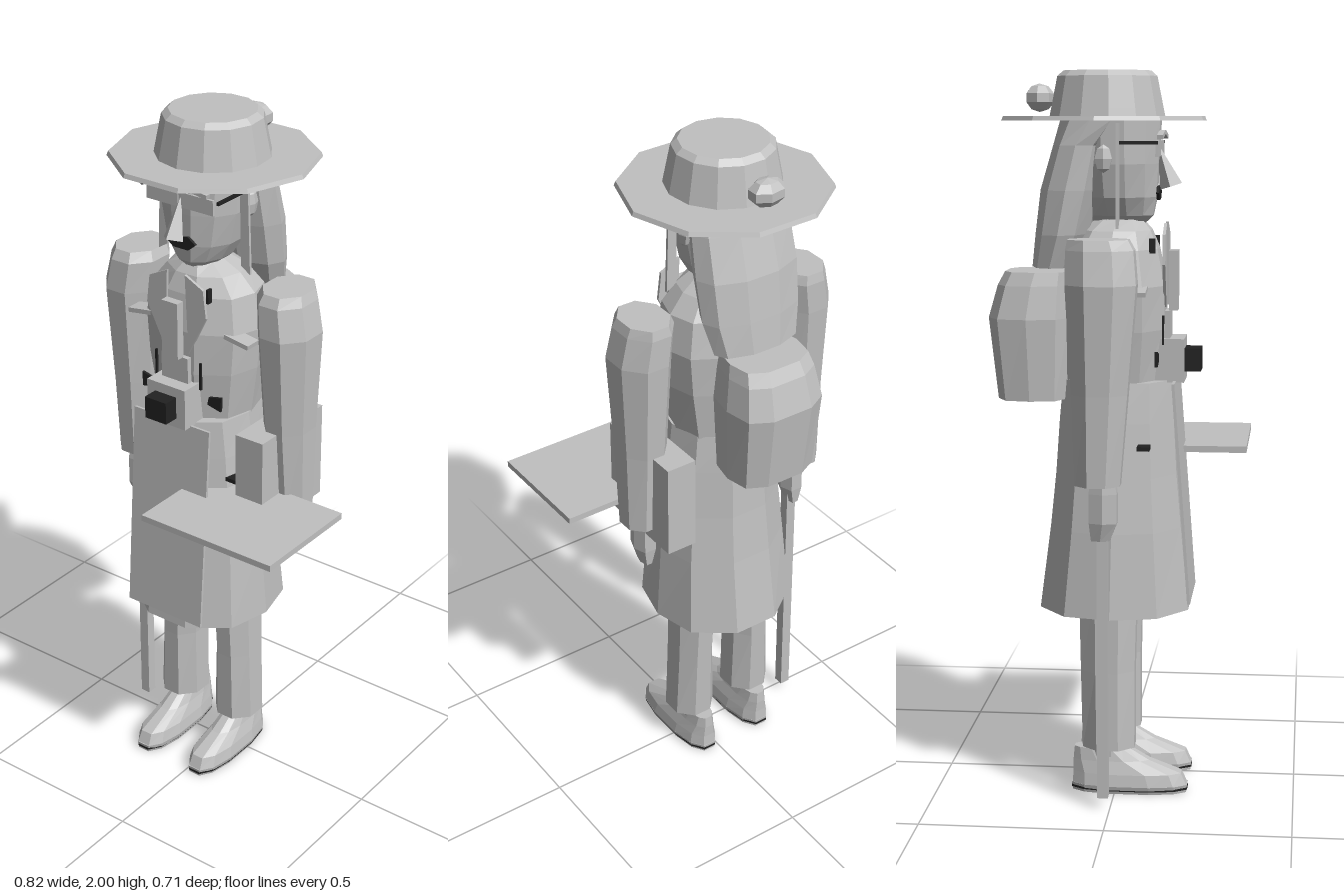
import * as THREE from 'three';

const CX = -0.065; // body axis

export function createModel() {
  const root = new THREE.Group();
  const mat = (name, color) => {
    const m = new THREE.MeshStandardMaterial({ color, flatShading: true, side: THREE.DoubleSide });
    m.name = name;
    return m;
  };
  const grey = mat('grey', 0xc0c0c0);
  const black = mat('black', 0x222222);

  const add = (name, geo, m = grey) => {
    const mesh = new THREE.Mesh(geo, m);
    mesh.name = name;
    root.add(mesh);
    return mesh;
  };
  // box from min and max corners
  const box = (name, x0, x1, y0, y1, z0, z1, m) => {
    const mesh = add(name, new THREE.BoxGeometry(x1 - x0, y1 - y0, z1 - z0), m);
    mesh.position.set((x0 + x1) / 2, (y0 + y1) / 2, (z0 + z1) / 2);
    return mesh;
  };
  // loft through rings [y, xMin, xMax, zBack, zFront]
  const loft = (name, rings, n = 10, capBottom = true, capTop = true, m = grey, pow = 1) => {
    const pos = [], idx = [];
    const curve = v => Math.sign(v) * Math.pow(Math.abs(v), pow);
    rings.forEach(([y, x0, x1, z0, z1]) => {
      for (let i = 0; i < n; i++) {
        const a = ((i + 0.5) / n) * Math.PI * 2;
        const k = 1 / Math.cos(Math.PI / n);
        const c = Math.max(-1, Math.min(1, Math.sin(a) * k)), s = Math.max(-1, Math.min(1, Math.cos(a) * k));
        pos.push((x0 + x1) / 2 + (x1 - x0) / 2 * curve(c), y, (z0 + z1) / 2 + (z1 - z0) / 2 * curve(s));
      }
    });
    for (let r = 0; r < rings.length - 1; r++) for (let i = 0; i < n; i++) {
      const a = r * n + i, b = r * n + (i + 1) % n;
      idx.push(a, b, b + n, a, b + n, a + n);
    }
    const t = (rings.length - 1) * n;
    for (let i = 1; i < n - 1; i++) {
      if (capBottom) idx.push(0, i + 1, i);
      if (capTop) idx.push(t, t + i, t + i + 1);
    }
    const g = new THREE.BufferGeometry();
    g.setAttribute('position', new THREE.Float32BufferAttribute(pos, 3));
    g.setIndex(idx);
    g.computeVertexNormals();
    return add(name, g, m);
  };
  // symmetric ring about the body axis
  const R = (y, rx, zb, zf) => [y, CX - rx, CX + rx, zb, zf];
  // flat plate from front-view points
  const plate = (name, pts, z, m, depth = 0.008) => {
    const g = new THREE.ExtrudeGeometry(new THREE.Shape(pts.map(p => new THREE.Vector2(...p))), { depth, bevelEnabled: false });
    const mesh = add(name, g, m);
    mesh.position.set(CX, 0, z);
    return mesh;
  };

  // hat
  const brim = add('hatBrim', new THREE.CylinderGeometry(0.282, 0.287, 0.012, 10));
  brim.rotation.y = Math.PI / 2;
  brim.position.set(CX, 1.872, -0.038);
  const crown = add('hatCrown', new THREE.LatheGeometry(
    [[0.16, 1.87], [0.154, 1.9], [0.137, 1.985], [0.12, 2], [0, 2]].map(p => new THREE.Vector2(...p)), 13));
  crown.position.set(CX, 0, -0.032);
  const bobble = add('hatBobble', new THREE.SphereGeometry(0.055, 7, 5));
  bobble.scale.set(1, 0.7, 0.75);
  bobble.position.set(CX, 1.927, -0.218);

  // head, neck and hair
  loft('head', [R(1.585, 0.04, -0.06, 0.07), R(1.61, 0.07, -0.09, 0.095), R(1.66, 0.1, -0.11, 0.105),
    R(1.75, 0.12, -0.12, 0.11), R(1.87, 0.125, -0.13, 0.115)], 12);
  loft('neck', [R(1.5, 0.065, -0.07, 0.06), R(1.62, 0.055, -0.06, 0.05)], 8);
  loft('hair', [R(1.47, 0.13, -0.235, -0.12), R(1.56, 0.15, -0.225, -0.08), R(1.68, 0.155, -0.21, -0.05),
    R(1.8, 0.15, -0.175, -0.03), R(1.87, 0.145, -0.155, 0.03)], 10);

  // face
  const nose = add('nose', new THREE.ConeGeometry(0.032, 0.12, 4));
  nose.position.set(CX, 1.745, 0.125);
  nose.rotation.x = -0.3;
  plate('mouth', [[-0.05, 1.672], [-0.025, 1.69], [0, 1.684], [0.025, 1.69], [0.05, 1.672], [0.025, 1.652], [-0.025, 1.652]], 0.106, black);
  for (const s of [-1, 1]) {
    const x = CX + s * 0.058;
    box('lens', x - 0.052, x + 0.052, 1.77, 1.812, 0.108, 0.116);
    box('glassesArm', CX + s * 0.126 - 0.004, CX + s * 0.126 + 0.004, 1.803, 1.812, 0.01, 0.116, black);
    const brow = box('eyebrow', x - 0.04, x + 0.04, 1.822, 1.834, 0.112, 0.128);
    brow.rotation.z = -s * 0.15;
    const ear = add('ear', new THREE.SphereGeometry(0.038, 6, 4));
    ear.scale.set(0.4, 1, 0.7);
    ear.position.set(CX + s * 0.125, 1.765, -0.03);
    // front lock of hair
    plate('hairLock', [[s * 0.12, 1.86], [s * 0.145, 1.86], [s * 0.155, 1.58], [s * 0.125, 1.6]], 0.005, grey);
  }

  // coat top and skirt
  loft('coatTop', [R(1.14, 0.14, -0.145, 0.115), R(1.3, 0.165, -0.15, 0.13), R(1.42, 0.175, -0.15, 0.13),
    R(1.52, 0.155, -0.13, 0.11), R(1.57, 0.11, -0.1, 0.09), R(1.6, 0.06, -0.06, 0.065)], 10);
  loft('coatSkirt', [R(0.515, 0.207, -0.215, 0.2), R(0.75, 0.19, -0.185, 0.178), R(0.9, 0.175, -0.17, 0.165),
    R(1.05, 0.16, -0.16, 0.157), R(1.16, 0.145, -0.15, 0.152)], 10);
  const apron = box('frontPanel', CX - 0.13, CX + 0.13, 0.545, 1.16, -0.004, 0.004);
  apron.position.z = 0.182;
  apron.rotation.x = -0.075;

  // coat details
  for (const s of [-1, 1]) {
    box('pocketSlit', CX + s * 0.16 - 0.03, CX + s * 0.16 + 0.03, 0.983, 0.995, 0.066, 0.1, black);
    plate('chestPocket', [[s * 0.09, 1.215], [s * 0.135, 1.205], [s * 0.137, 1.248], [s * 0.095, 1.238]], 0.11, black);
    box('collarSlit', CX + s * 0.083 - 0.004, CX + s * 0.083 + 0.004, 1.51, 1.55, 0.09, 0.107, black);
    box('strapSlit', CX + s * 0.076 - 0.003, CX + s * 0.076 + 0.003, 1.26, 1.34, 0.125, 0.131, black);
    const tab = box('chestTab', CX + s * 0.165 - 0.04, CX + s * 0.165 + 0.04, 1.407, 1.42, 0.04, 0.09);
    tab.rotation.z = -s * 0.15;
    plate('lapel', [[s * 0.03, 1.59], [s * 0.09, 1.56], [s * 0.1, 1.48], [s * 0.04, 1.36]], 0.127, grey);
  }

  // camera hanging from a strap
  box('cameraBody', -0.13, 0, 1.155, 1.275, 0.1, 0.185);
  box('cameraLens', -0.102, -0.03, 1.183, 1.247, 0.18, 0.23, black);
  box('cameraStrapLower', -0.11, -0.02, 1.275, 1.35, 0.125, 0.145);
  box('cameraStrapUpper', -0.092, -0.038, 1.35, 1.515, 0.14, 0.165);

  // backpack
  loft('backpack', [R(1.105, 0.125, -0.33, -0.14), R(1.33, 0.135, -0.355, -0.13), R(1.42, 0.12, -0.33, -0.13),
    R(1.457, 0.11, -0.31, -0.13)], 10, true, true, grey, 0.7);

  // arms, legs and shoes
  for (const s of [-1, 1]) {
    const side = (y, a, b, zb, zf) => [y, CX + Math.min(s * a, s * b), CX + Math.max(s * a, s * b), zb, zf];
    loft('sleeve', [side(0.905, 0.215, 0.328, -0.09, 0.03), side(1.15, 0.2, 0.332, -0.1, 0.05),
      side(1.44, 0.185, 0.344, -0.115, 0.073), side(1.53, 0.178, 0.325, -0.115, 0.065),
      side(1.558, 0.19, 0.315, -0.11, 0.05)], 8, false);
    loft('hand', [side(0.75, 0.245, 0.275, -0.05, 0), side(0.8, 0.228, 0.29, -0.055, 0.02),
      side(0.88, 0.228, 0.29, -0.055, 0.02), side(0.95, 0.235, 0.285, -0.05, 0.01)], 6);
    loft('trouserLeg', [side(0.13, 0.036, 0.168, -0.09, 0.055), side(0.35, 0.04, 0.16, -0.095, 0.055),
      side(0.56, 0.03, 0.155, -0.1, 0.06)], 8);
    loft('ankle', [side(0.07, 0.065, 0.135, -0.08, 0.02), side(0.15, 0.065, 0.135, -0.08, 0.02)], 8);
    loft('sole', [side(0.0, 0.045, 0.15, -0.12, 0.2), side(0.022, 0.04, 0.156, -0.122, 0.203)], 12, true, true, grey, 0.8);
    loft('soleEdge', [side(0.008, 0.043, 0.153, -0.123, 0.203), side(0.014, 0.043, 0.153, -0.123, 0.203)], 12, true, true, black, 0.8);
    loft('shoe', [side(0.022, 0.04, 0.156, -0.12, 0.2), side(0.055, 0.046, 0.15, -0.118, 0.185),
      side(0.09, 0.058, 0.138, -0.118, 0.095), side(0.125, 0.066, 0.13, -0.115, 0.035)], 12, true, true, grey, 0.8);
  }

  // carried items
  box('cane', -0.336, -0.306, 0.03, 0.91, -0.035, -0.005);
  box('clipboard', -0.02, 0.41, 0.943, 0.961, 0.02, 0.355);
  box('hipBag', 0.12, 0.21, 0.87, 1.15, -0.17, 0.115);

  return root;
}
